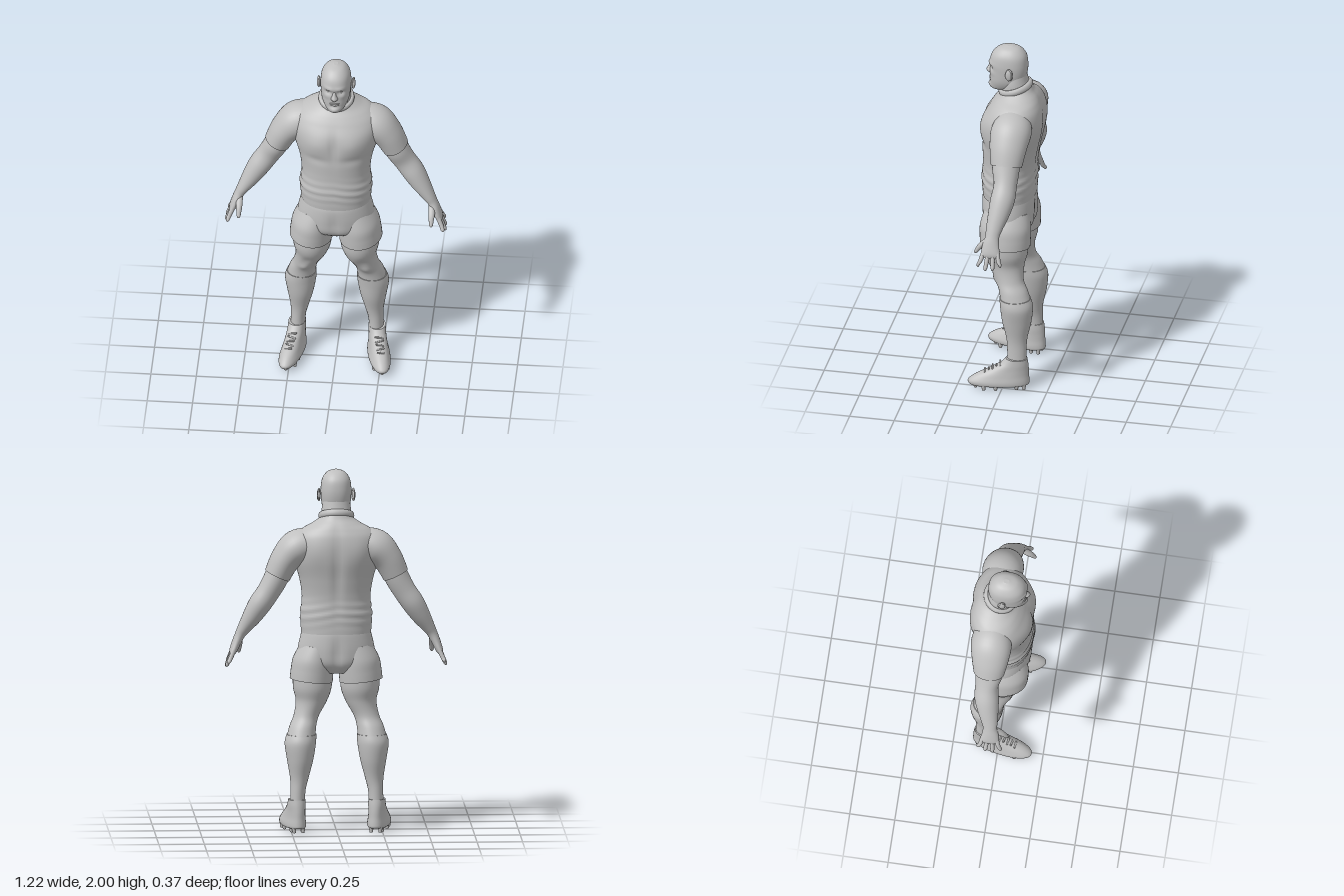
import * as THREE from 'three';

const grey = new THREE.MeshStandardMaterial({ color: 0xc0c0c0 });
grey.name = 'clay grey';

// Catmull-Rom blend of one number
function spline(a, b, c, d, t) {
  return b + 0.5 * t * (c - a + t * (2 * a - 5 * b + 4 * c - d + t * (3 * (b - c) + d - a)));
}

// Skin over rings listed top to bottom: [x, y, z, half width, front depth, back depth].
// tilt turns the rings square to the path; square < 1 makes them boxier.
function loft(rows, { seg = 40, steps = 6, tilt = false, square = 1, deform } = {}) {
  const rings = [];
  const at = i => rows[Math.max(0, Math.min(rows.length - 1, i))];
  for (let i = 0; i < rows.length - 1; i++)
    for (let s = 0; s < steps; s++)
      rings.push(rows[i].map((_, k) => spline(at(i - 1)[k], at(i)[k], at(i + 1)[k], at(i + 2)[k], s / steps)));
  rings.push(rows[rows.length - 1]);
  const pos = [], index = [], last = rings.length - 1;
  const pow = v => Math.sign(v) * Math.abs(v) ** square;
  const addRing = i => {
    const [x, y, z, w, f, b] = rings[i];
    const p = rings[Math.max(0, i - 1)], n = rings[Math.min(last, i + 1)];
    let ux = 1, uy = 0;
    if (tilt) {
      const l = Math.hypot(n[0] - p[0], n[1] - p[1]);
      ux = (p[1] - n[1]) / l;
      uy = (n[0] - p[0]) / l;
    }
    for (let j = 0; j < seg; j++) {
      const a = (j / seg) * Math.PI * 2, c = pow(Math.cos(a)) * w, s = pow(Math.sin(a));
      const v = new THREE.Vector3(x + ux * c, y + uy * c, z + s * (s > 0 ? f : b));
      if (deform) deform(v);
      pos.push(v.x, v.y, v.z);
    }
  };
  for (let i = 0; i <= last; i++) addRing(i);
  for (let i = 0; i < last; i++)
    for (let j = 0; j < seg; j++) {
      const k = (j + 1) % seg, a = i * seg, b = a + seg;
      index.push(a + j, a + k, b + j, a + k, b + k, b + j);
    }
  // end caps with their own rim
  for (const i of [0, last]) {
    const start = pos.length / 3;
    addRing(i);
    const m = [0, 0, 0];
    for (let j = 0; j < seg; j++) for (let k = 0; k < 3; k++) m[k] += pos[(start + j) * 3 + k] / seg;
    pos.push(...m);
    for (let j = 0; j < seg; j++) {
      const k = (j + 1) % seg;
      if (i === 0) index.push(start + seg, start + k, start + j);
      else index.push(start + seg, start + j, start + k);
    }
  }
  const g = new THREE.BufferGeometry();
  g.setAttribute('position', new THREE.Float32BufferAttribute(pos, 3));
  g.setIndex(index);
  g.computeVertexNormals();
  return g;
}

// Soft swellings and hollows: [x, y, z, rx, ry, rz, push in z], mirrored in x
const bumps = list => v => {
  let dz = 0;
  for (const [x, y, z, rx, ry, rz, push] of list)
    dz += push * Math.exp(-(((Math.abs(v.x) - x) / rx) ** 2) - ((v.y - y) / ry) ** 2 - ((v.z - z) / rz) ** 2);
  v.z += dz;
};

function ball(x, y, z, sx, sy, sz) {
  return new THREE.SphereGeometry(1, 20, 14).scale(sx, sy, sz).translate(x, y, z);
}

function mirrored(g) {
  const m = g.clone().scale(-1, 1, 1), ix = m.index;
  for (let i = 0; i < ix.count; i += 3) {
    const t = ix.getX(i);
    ix.setX(i, ix.getX(i + 1));
    ix.setX(i + 1, t);
  }
  m.computeVertexNormals();
  return m;
}

export function createModel() {
  const model = new THREE.Group();
  const add = (name, g) => {
    const m = new THREE.Mesh(g, grey);
    m.name = name;
    model.add(m);
  };
  const pair = (name, g) => {
    add('left ' + name, g);
    add('right ' + name, mirrored(g));
  };

  // Head and face
  add('head', loft([
    [0, 2, 0.01, 0.012, 0.016, 0.016], [0, 1.986, 0.01, 0.048, 0.062, 0.058],
    [0, 1.95, 0.01, 0.075, 0.098, 0.09], [0, 1.9, 0.01, 0.084, 0.112, 0.1],
    [0, 1.85, 0.01, 0.083, 0.11, 0.098], [0, 1.8, 0.02, 0.077, 0.1, 0.095],
    [0, 1.765, 0.03, 0.064, 0.09, 0.08], [0, 1.742, 0.05, 0.046, 0.068, 0.06],
    [0, 1.732, 0.06, 0.025, 0.04, 0.03]
  ], { seg: 64, square: 0.9, deform: bumps([
    [0.034, 1.872, 0.11, 0.02, 0.013, 0.05, -0.014], [0.03, 1.898, 0.11, 0.03, 0.01, 0.05, 0.007],
    [0.05, 1.845, 0.1, 0.02, 0.014, 0.04, 0.005], [0, 1.76, 0.12, 0.026, 0.014, 0.04, 0.01],
    [0, 1.78, 0.12, 0.03, 0.007, 0.04, -0.004]
  ]) }));
  add('nose', loft([
    [0, 1.888, 0.108, 0.008, 0.01, 0.02], [0, 1.86, 0.113, 0.011, 0.02, 0.02],
    [0, 1.838, 0.115, 0.02, 0.027, 0.02], [0, 1.824, 0.113, 0.014, 0.014, 0.02]
  ], { seg: 20, steps: 4 }));
  add('upper lip', ball(0, 1.803, 0.115, 0.028, 0.005, 0.01));
  add('lower lip', ball(0, 1.792, 0.115, 0.025, 0.006, 0.01));
  pair('eye', ball(0.034, 1.872, 0.092, 0.014, 0.01, 0.012));
  pair('ear', ball(0.087, 1.86, -0.003, 0.01, 0.033, 0.02).rotateZ(-0.005));
  pair('ear rim', new THREE.TorusGeometry(0.021, 0.005, 8, 24).scale(0.85, 1.4, 1)
    .rotateY(Math.PI / 2 - 0.3).translate(0.094, 1.862, -0.005));

  // Neck and collar
  add('neck', loft([
    [0, 1.85, -0.02, 0.07, 0.06, 0.062], [0, 1.79, -0.022, 0.08, 0.075, 0.072],
    [0, 1.74, -0.025, 0.084, 0.083, 0.085], [0, 1.68, -0.03, 0.1, 0.09, 0.1]
  ]));
  add('collar', new THREE.TorusGeometry(0.086, 0.013, 10, 48).scale(1, 1, 1.5)
    .rotateX(Math.PI / 2 + 0.34).translate(0, 1.748, -0.022));

  // Shirt with chest, back and creases at the waist
  const muscles = bumps([
    [0.1, 1.53, 0.16, 0.07, 0.06, 0.09, 0.012], [0, 1.52, 0.16, 0.02, 0.09, 0.07, -0.012],
    [0.1, 1.43, 0.15, 0.07, 0.025, 0.07, -0.006], [0, 1.45, -0.17, 0.025, 0.2, 0.08, 0.013],
    [0.12, 1.56, -0.17, 0.07, 0.08, 0.08, -0.008]
  ]);
  add('shirt', loft([
    [0, 1.77, -0.045, 0.065, 0.045, 0.065], [0, 1.74, -0.04, 0.092, 0.085, 0.085],
    [0, 1.71, -0.045, 0.135, 0.11, 0.102], [0, 1.68, -0.045, 0.188, 0.135, 0.118],
    [0, 1.64, -0.04, 0.226, 0.158, 0.137], [0, 1.58, -0.03, 0.24, 0.18, 0.153],
    [0, 1.5, -0.02, 0.232, 0.18, 0.158], [0, 1.4, -0.01, 0.203, 0.168, 0.148],
    [0, 1.3, 0, 0.189, 0.155, 0.142], [0, 1.2, 0, 0.198, 0.161, 0.141],
    [0, 1.1, 0, 0.192, 0.155, 0.137]
  ], { seg: 72, steps: 9, square: 0.92, deform: v => {
    muscles(v);
    const crease = Math.exp(-(((v.y - 1.21) / 0.06) ** 2));
    const k = 1 + 0.018 * crease * Math.sin(v.y * 130 + Math.abs(v.x) * 18 + v.x * 9);
    v.x *= k;
    v.z *= k;
  } }));
  pair('sleeve', loft([
    [0.13, 1.6, -0.04, 0.085, 0.09, 0.1], [0.215, 1.575, -0.04, 0.098, 0.11, 0.115],
    [0.28, 1.51, -0.037, 0.083, 0.1, 0.105], [0.326, 1.42, -0.037, 0.073, 0.084, 0.088]
  ], { tilt: true }));

  // Arms and hands
  pair('arm', loft([
    [0.3, 1.48, -0.036, 0.068, 0.075, 0.08], [0.335, 1.4, -0.036, 0.067, 0.073, 0.077],
    [0.375, 1.33, -0.04, 0.063, 0.06, 0.068], [0.422, 1.26, -0.036, 0.062, 0.065, 0.07],
    [0.465, 1.19, -0.025, 0.052, 0.058, 0.06], [0.51, 1.12, -0.01, 0.035, 0.045, 0.045],
    [0.53, 1.085, -0.004, 0.028, 0.039, 0.039], [0.548, 1.045, 0, 0.025, 0.046, 0.045],
    [0.568, 0.995, 0, 0.02, 0.052, 0.054], [0.576, 0.975, 0, 0.01, 0.044, 0.046]
  ], { tilt: true }));
  const fingerTips = [[0.594, 0.925, 0.062], [0.603, 0.908, 0.02], [0.602, 0.912, -0.02], [0.594, 0.932, -0.06]];
  fingerTips.forEach(([x, y, z], i) => {
    const z0 = 0.036 - i * 0.025;
    pair('finger ' + (i + 1), loft([
      [0.562, 1.01, z0, 0.013, 0.013, 0.013], [0.583, 0.962, (z0 + z) / 2, 0.0125, 0.0125, 0.0125],
      [x - 0.002, y + 0.012, z, 0.01, 0.01, 0.01], [x, y, z, 0.003, 0.003, 0.003]
    ], { tilt: true, seg: 14, steps: 4 }));
  });
  pair('thumb', loft([
    [0.53, 1.075, 0.012, 0.018, 0.02, 0.02], [0.53, 1.035, 0.05, 0.018, 0.022, 0.022],
    [0.53, 1, 0.077, 0.013, 0.015, 0.016], [0.53, 0.983, 0.088, 0.01, 0.01, 0.012],
    [0.53, 0.974, 0.09, 0.003, 0.004, 0.004]
  ], { seg: 16, steps: 4 }));

  // Shorts
  add('shorts seat', loft([
    [0, 1.13, 0, 0.183, 0.145, 0.13], [0, 1.085, 0, 0.195, 0.158, 0.138],
    [0, 1, 0, 0.212, 0.158, 0.14], [0, 0.93, 0, 0.2, 0.145, 0.13], [0, 0.88, 0, 0.1, 0.09, 0.09]
  ], { seg: 56, deform: bumps([
    [0, 0.98, 0.16, 0.03, 0.08, 0.07, -0.012], [0, 0.98, -0.14, 0.025, 0.09, 0.07, 0.016]
  ]) }));
  pair('shorts leg', loft([
    [0.1, 1.03, 0, 0.095, 0.13, 0.118], [0.124, 0.95, 0, 0.112, 0.15, 0.133],
    [0.132, 0.885, 0, 0.117, 0.15, 0.133], [0.137, 0.833, 0, 0.118, 0.147, 0.131]
  ], { deform: v => { v.y += (v.x - 0.137) * 0.1; } }));

  // Legs and socks
  pair('leg', loft([
    [0.13, 0.92, 0, 0.105, 0.125, 0.115], [0.131, 0.8, 0, 0.107, 0.128, 0.118],
    [0.136, 0.72, 0, 0.086, 0.103, 0.1], [0.165, 0.64, -0.02, 0.07, 0.076, 0.08],
    [0.186, 0.58, -0.04, 0.074, 0.07, 0.088], [0.199, 0.5, -0.06, 0.082, 0.078, 0.097]
  ], { deform: bumps([[0.155, 0.7, 0.1, 0.03, 0.03, 0.05, -0.01], [0.17, 0.635, 0.05, 0.03, 0.025, 0.05, 0.012]]) }));
  pair('sock', loft([
    [0.193, 0.54, -0.05, 0.082, 0.076, 0.096], [0.2, 0.49, -0.06, 0.086, 0.081, 0.1],
    [0.201, 0.4, -0.065, 0.072, 0.075, 0.087], [0.206, 0.3, -0.07, 0.051, 0.056, 0.061],
    [0.214, 0.22, -0.075, 0.041, 0.054, 0.053], [0.218, 0.1, -0.075, 0.042, 0.055, 0.055]
  ]));

  // Boots, turned slightly outward
  const place = g => g.rotateY(0.2).translate(0.235, 0, 0);
  pair('boot', place(loft([
    [0, 0.182, -0.075, 0.046, 0.058, 0.06], [0, 0.15, -0.07, 0.047, 0.085, 0.07],
    [0, 0.115, -0.05, 0.048, 0.13, 0.093], [0, 0.08, -0.02, 0.053, 0.172, 0.124],
    [0, 0.05, 0, 0.06, 0.19, 0.146], [0, 0.032, 0, 0.06, 0.19, 0.146], [0, 0.024, 0, 0.055, 0.182, 0.14]
  ], { square: 0.92 })));
  for (let i = 0; i < 5; i++)
    pair('lace ' + (i + 1), place(new THREE.CapsuleGeometry(0.005, 0.042 - i * 0.002, 4, 8)
      .rotateZ(Math.PI / 2 + (i % 2 ? 0.25 : -0.25)).translate(0, 0.149 - i * 0.011, 0.014 + i * 0.021)));
  const studs = [[0, 0.15], [-0.038, 0.105], [0.038, 0.105], [-0.04, 0.04], [0.04, 0.04], [-0.03, -0.075], [0.03, -0.075], [-0.025, -0.115], [0.025, -0.115]];
  studs.forEach(([x, z], i) =>
    pair('stud ' + (i + 1), place(new THREE.CylinderGeometry(0.013, 0.009, 0.03, 12).translate(x, 0.015, z))));

  return model;
}
